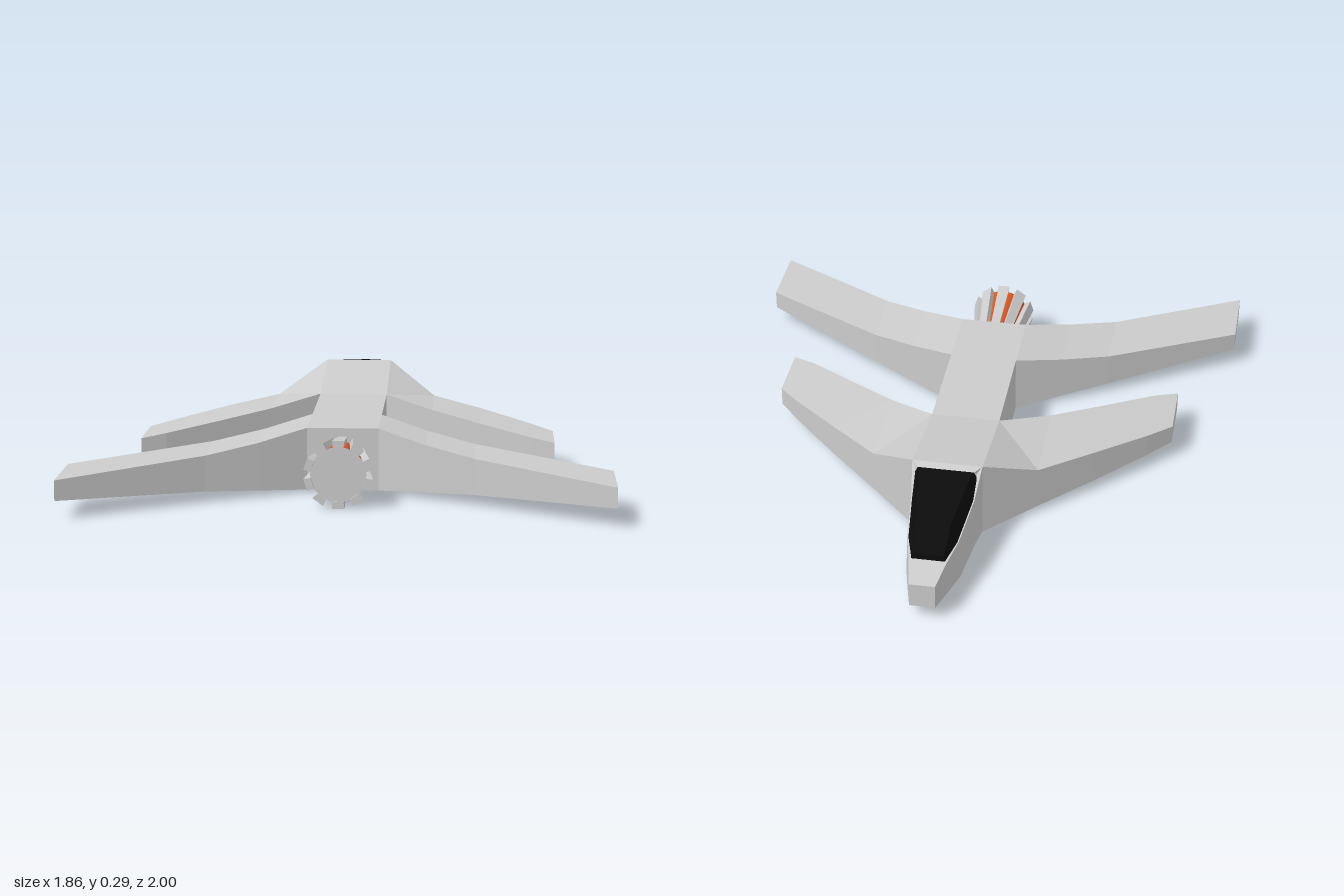
import * as THREE from 'three';

const grey = new THREE.MeshStandardMaterial({ color: 0xcccccc, flatShading: true });
const black = new THREE.MeshStandardMaterial({ color: 0x0c0c0c, flatShading: true });
const orange = new THREE.MeshStandardMaterial({ color: 0xd9541e, flatShading: true });

// Closed skin through four-cornered cross-sections, faces turned outward
function loft(name, rings, material) {
  const tris = [];
  const quad = (a, b, c, d) => tris.push([a, b, c], [a, c, d]);
  for (let i = 0; i < rings.length - 1; i++) {
    const p = rings[i], q = rings[i + 1];
    for (let j = 0; j < 4; j++) {
      const k = (j + 1) % 4;
      quad(p[j], p[k], q[k], q[j]);
    }
  }
  const last = rings[rings.length - 1];
  quad(...[...rings[0]].reverse());
  quad(...last);
  // A negative enclosed volume means the faces point inward
  const vec = (p) => new THREE.Vector3(...p);
  const volume = tris.reduce((v, [a, b, c]) => v + vec(a).dot(vec(b).cross(vec(c))), 0);
  if (volume < 0) tris.forEach((t) => t.reverse());
  const geometry = new THREE.BufferGeometry();
  geometry.setAttribute('position', new THREE.Float32BufferAttribute(tris.flat(2), 3));
  geometry.computeVertexNormals();
  const mesh = new THREE.Mesh(geometry, material);
  mesh.name = name;
  return mesh;
}

// Cross-section across the body: [z, bottom half-width, top half-width, bottom y, top y]
const bodyRing = ([z, wb, wt, yb, yt]) => [[-wb, yb, z], [wb, yb, z], [wt, yt, z], [-wt, yt, z]];

// Cross-section along a wing: [x, leading z, trailing z, leading top, trailing top, bottom]
const wingRing = (side) => ([x, zl, zt, yl, yt, yb]) =>
  [[side * x, yb, zl], [side * x, yb, zt], [side * x, yt, zt], [side * x, yl, zl]];

const frontWing = [
  [0.125, -0.505, -0.125, 0.295, 0.228, 0.007],
  [0.30, -0.345, -0.01, 0.185, 0.192, 0.024],
  [0.48, -0.185, 0.12, 0.168, 0.168, 0.041],
  [0.66, -0.015, 0.25, 0.146, 0.146, 0.058],
  [0.745, 0.075, 0.295, 0.135, 0.135, 0.065],
];

const rearWing = [
  [0.125, 0.275, 0.53, 0.228, 0.228, 0.007],
  [0.29, 0.368, 0.62, 0.19, 0.19, 0.022],
  [0.46, 0.46, 0.71, 0.163, 0.163, 0.037],
  [0.93, 0.742, 1.0, 0.135, 0.135, 0.065],
];

function createEngine() {
  const engine = new THREE.Group();
  engine.name = 'engine';
  const z0 = 0.5, z1 = 0.785;

  // Flared core with a plain end disc
  const core = new THREE.CylinderGeometry(0.096, 0.058, z1 - z0 - 0.004, 20);
  core.rotateX(Math.PI / 2);
  const coreMesh = new THREE.Mesh(core, [orange, grey, grey]);
  coreMesh.name = 'engineCore';
  coreMesh.position.z = (z0 + z1) / 2 - 0.002;
  engine.add(coreMesh);

  // Ten tapered petals around the core
  for (let i = 0; i < 10; i++) {
    const petal = loft('enginePetal', [
      bodyRing([z0, 0.013, 0.015, 0.05, 0.076]),
      bodyRing([z1, 0.018, 0.022, 0.093, 0.118]),
    ], grey);
    petal.rotation.z = (i * Math.PI) / 5;
    engine.add(petal);
  }
  engine.position.y = 0.118;
  return engine;
}

export function createModel() {
  const model = new THREE.Group();
  model.name = 'aircraft';

  model.add(loft('fuselage', [
    [-0.505, 0.125, 0.125, 0.007, 0.295],
    [-0.125, 0.125, 0.125, 0.007, 0.228],
    [0.53, 0.125, 0.125, 0.007, 0.228],
  ].map(bodyRing), grey));

  model.add(loft('nose', [
    [-1.0, 0.045, 0.045, 0.052, 0.143],
    [-0.89, 0.072, 0.066, 0.038, 0.162],
    [-0.79, 0.095, 0.09, 0.026, 0.178],
    [-0.6, 0.115, 0.112, 0.024, 0.214],
    [-0.505, 0.125, 0.125, 0.007, 0.295],
  ].map(bodyRing), grey));

  model.add(loft('canopy', [
    [-0.885, 0.06, 0.054, 0.155, 0.185],
    [-0.79, 0.087, 0.062, 0.174, 0.249],
    [-0.6, 0.109, 0.086, 0.21, 0.279],
    [-0.535, 0.113, 0.1, 0.262, 0.289],
  ].map(bodyRing), black));

  // Fairing between canopy and ridge
  model.add(loft('canopyFairing', [
    [-0.535, 0.113, 0.1, 0.258, 0.288],
    [-0.505, 0.125, 0.124, 0.26, 0.295],
  ].map(bodyRing), grey));

  for (const [side, label] of [[1, 'left'], [-1, 'right']]) {
    model.add(loft(label + 'FrontWing', frontWing.map(wingRing(side)), grey));
    model.add(loft(label + 'RearWing', rearWing.map(wingRing(side)), grey));
  }

  model.add(createEngine());
  return model;
}
